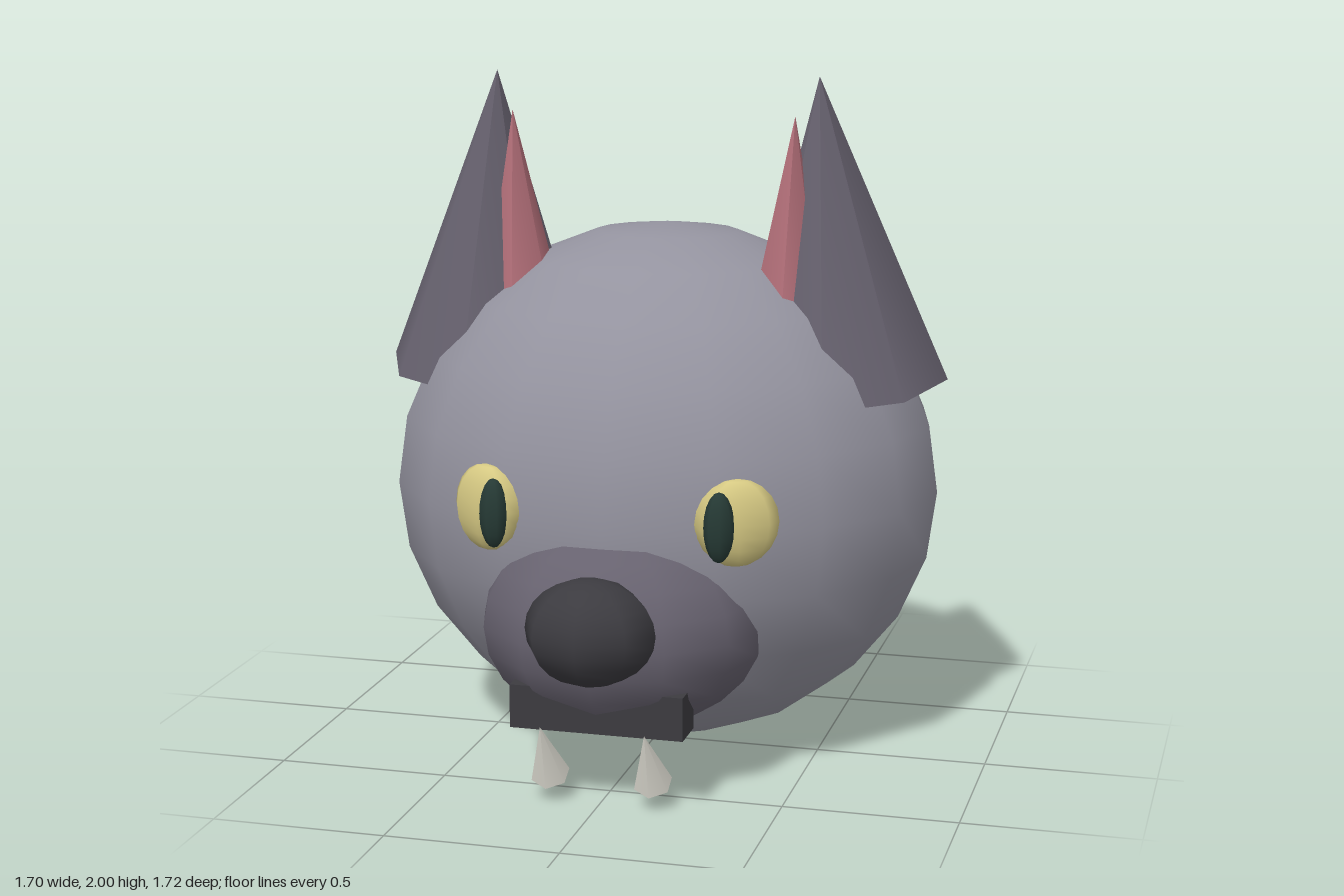
import * as THREE from 'three';

const paint = (name, color) => {
  const m = new THREE.MeshStandardMaterial({ color });
  m.name = name;
  return m;
};

export function createModel() {
  const fur = paint('grey fur', 0x94939f);
  const darkFur = paint('dark fur', 0x67626f);
  const black = paint('black', 0x3c3b40);
  const pink = paint('pink skin', 0xb4707a);
  const yellow = paint('yellow eye', 0xd6c983);
  const pupilGreen = paint('dark green pupil', 0x263a35);
  const ivory = paint('ivory', 0xdedcd2);

  const model = new THREE.Group();
  model.name = 'animalHead';

  const add = (name, geometry, material, parent = model) => {
    const mesh = new THREE.Mesh(geometry, material);
    mesh.name = name;
    parent.add(mesh);
    return mesh;
  };

  const ellipsoid = (name, pos, radii, material, segs, rotY = 0) => {
    const mesh = add(name, new THREE.SphereGeometry(1, ...segs), material);
    mesh.scale.set(...radii);
    mesh.rotation.y = rotY;
    mesh.position.set(...pos);
    return mesh;
  };

  // Cone standing on a base centre and pointing at its tip
  const coneTo = (name, base, tip, radius, sides, material) => {
    const a = new THREE.Vector3(...base);
    const axis = new THREE.Vector3(...tip).sub(a);
    const mesh = add(name, new THREE.ConeGeometry(radius, axis.length(), sides), material);
    mesh.position.copy(a).addScaledVector(axis, 0.5);
    mesh.quaternion.setFromUnitVectors(new THREE.Vector3(0, 1, 0), axis.normalize());
    return mesh;
  };

  // Skull, muzzle and nose
  ellipsoid('head', [0, 0.778, -0.14], [0.82, 0.776, 0.722], fur, [16, 12]);
  ellipsoid('muzzle', [0, 0.475, 0.37], [0.412, 0.315, 0.365], darkFur, [12, 12]);
  ellipsoid('nose', [0, 0.53, 0.702], [0.187, 0.15, 0.158], black, [8, 12]);

  // Mouth bar
  add('mouth', new THREE.BoxGeometry(0.5, 0.125, 0.125), black).position.set(0, 0.282, 0.587);

  for (const [side, s] of [['left', 1], ['right', -1]]) {
    // Ears with a pink inner cone
    coneTo(side + 'Ear', [s * 0.54, 1.105, -0.105], [s * 0.48, 2, -0.005], 0.31, 8, darkFur);
    coneTo(side + 'InnerEar', [s * 0.4, 1.25, 0.005], [s * 0.42, 1.89, 0.04], 0.13, 6, pink);

    // Eyes turned slightly outward
    ellipsoid(side + 'Eye', [s * 0.362, 0.81, 0.488], [0.12, 0.125, 0.05], yellow, [8, 10], s * 0.42);
    ellipsoid(side + 'Pupil', [s * 0.325, 0.808, 0.547], [0.043, 0.1, 0.036], pupilGreen, [8, 10], s * 0.3);

    // Teeth
    coneTo(side + 'Tooth', [s * 0.15, 0.07, 0.592], [s * 0.15, 0.24, 0.688], 0.056, 6, ivory);
  }
  return model;
}
